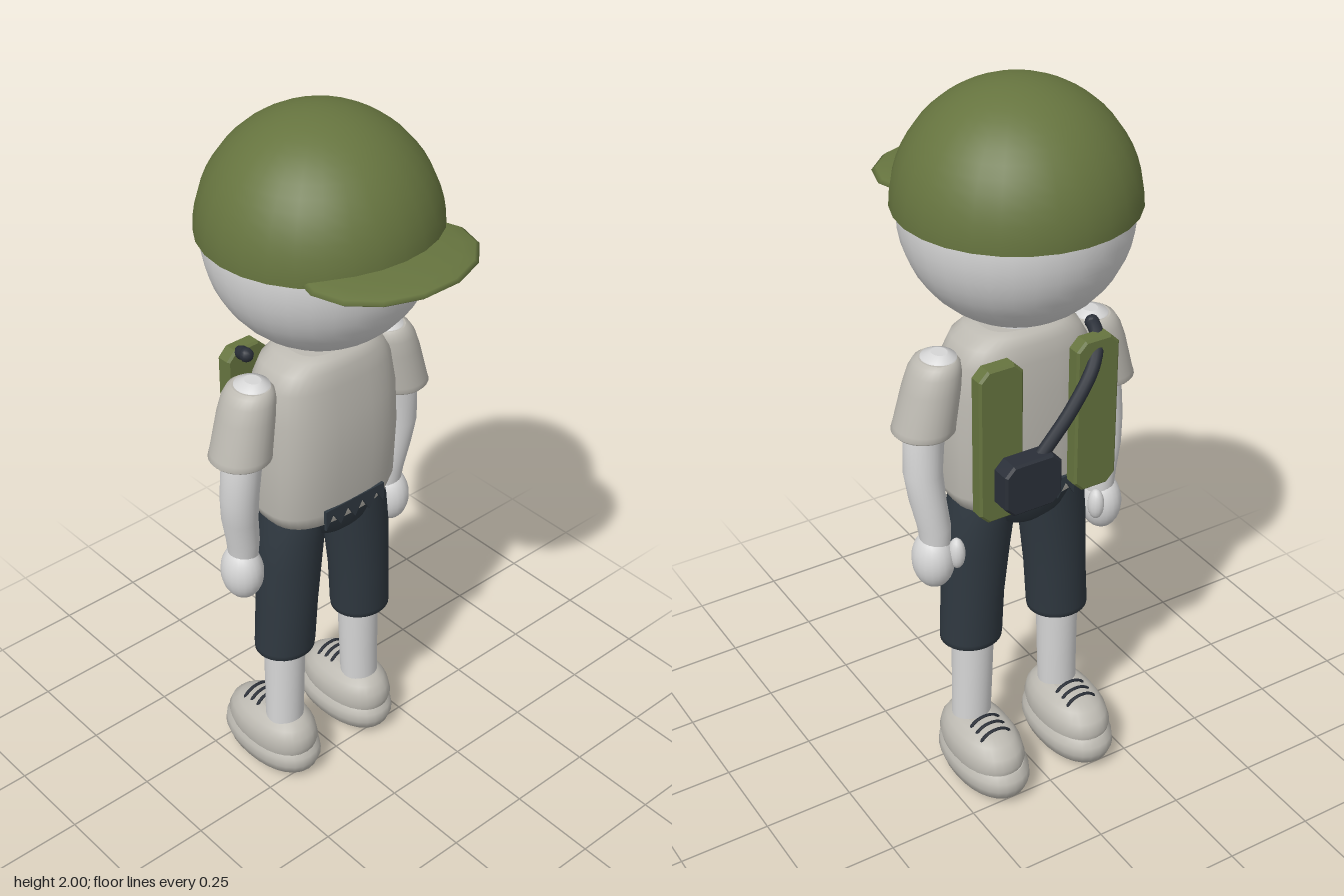
import * as THREE from 'three';

const mat = (name, color, side = THREE.FrontSide) => {
  const m = new THREE.MeshStandardMaterial({ color, side });
  m.name = name;
  return m;
};

// Stacked horizontal rings [y, centreX, centreZ, radiusX, radiusZ], bottom to top, with flat ends.
function loft(rings, exponent = 2, segments = 28) {
  const pos = [], idx = [];
  const ring = ([y, cx, cz, rx, rz]) => {
    const start = pos.length / 3;
    for (let i = 0; i < segments; i++) {
      const a = (i / segments) * Math.PI * 2, c = Math.cos(a), s = Math.sin(a);
      const p = (v) => Math.sign(v) * Math.abs(v) ** (2 / exponent);
      pos.push(cx + rx * p(c), y, cz + rz * p(s));
    }
    return start;
  };
  const starts = rings.map(ring);
  for (let r = 0; r < starts.length - 1; r++) {
    for (let i = 0; i < segments; i++) {
      const j = (i + 1) % segments, a = starts[r], b = starts[r + 1];
      idx.push(a + i, b + i, a + j, a + j, b + i, b + j);
    }
  }
  [rings[0], rings[rings.length - 1]].forEach((end, top) => {
    const s = ring(end), centre = pos.length / 3;
    pos.push(end[1], end[0], end[2]);
    for (let i = 0; i < segments; i++) {
      const j = (i + 1) % segments;
      if (top) idx.push(centre, s + j, s + i);
      else idx.push(centre, s + i, s + j);
    }
  });
  // centre points are stored as x, y, z
  const g = new THREE.BufferGeometry();
  g.setAttribute('position', new THREE.Float32BufferAttribute(pos, 3));
  g.setIndex(idx);
  g.computeVertexNormals();
  return g;
}

// Box with cut corners, centred, extruded along z
function cutBox(w, h, d, cut, bevel) {
  const x = w / 2 - bevel, y = h / 2 - bevel;
  const pts = [[-x + cut, -y], [x - cut, -y], [x, -y + cut], [x, y - cut],
    [x - cut, y], [-x + cut, y], [-x, y - cut], [-x, -y + cut]];
  const shape = new THREE.Shape(pts.map((p) => new THREE.Vector2(...p)));
  const g = new THREE.ExtrudeGeometry(shape, {
    depth: d - 2 * bevel, bevelSize: bevel, bevelThickness: bevel, bevelSegments: 1,
  });
  return g.translate(0, 0, -d / 2 + bevel);
}

export function createModel() {
  const skin = mat('pale skin', 0xd6d6d6);
  const cloth = mat('warm grey cloth', 0xbdbab2);
  const olive = mat('olive', 0x66743f, THREE.DoubleSide);
  const navy = mat('dark navy', 0x2f3840);
  const dark = mat('dark gear', 0x2a2f38);

  const model = new THREE.Group();
  const add = (name, geometry, material, x = 0, y = 0, z = 0, parent = model) => {
    const m = new THREE.Mesh(geometry, material);
    m.name = name;
    m.position.set(x, y, z);
    parent.add(m);
    return m;
  };

  // Head, neck and cap
  add('head', new THREE.SphereGeometry(0.29, 32, 24), skin, 0, 1.68, -0.06);
  add('neck', new THREE.CylinderGeometry(0.065, 0.075, 0.1, 24), skin, 0, 1.39, -0.06);
  add('capDome', new THREE.SphereGeometry(0.305, 28, 14, 0, Math.PI * 2, 0, Math.PI / 2),
    olive, 0, 1.695, -0.06);
  add('capBrim', new THREE.SphereGeometry(1, 14, 10), olive, 0, 1.702, 0.185)
    .scale.set(0.24, 0.024, 0.185);

  // Shirt body and hips
  add('shirt', loft([
    [0.885, 0, -0.055, 0.15, 0.1], [0.9, 0, -0.055, 0.185, 0.118],
    [0.94, 0, -0.053, 0.203, 0.125], [1.1, 0, -0.05, 0.205, 0.132],
    [1.22, 0, -0.052, 0.202, 0.128], [1.31, 0, -0.055, 0.19, 0.118],
    [1.355, 0, -0.055, 0.165, 0.11], [1.378, 0, -0.055, 0.13, 0.095],
    [1.385, 0, -0.055, 0.1, 0.075],
  ], 2.7, 36), cloth);
  add('hips', loft([
    [0.8, 0, -0.06, 0.03, 0.04], [0.82, 0, -0.06, 0.08, 0.08],
    [0.85, 0, -0.06, 0.135, 0.11], [0.9, 0, -0.06, 0.18, 0.122],
  ]), navy);

  // Toothed waistband patch, front and back
  const teeth = new THREE.Shape();
  teeth.moveTo(-0.1, 0.955);
  teeth.lineTo(-0.1, 0.895);
  for (let i = 0; i < 4; i++) {
    const x = -0.1 + i * 0.05;
    teeth.lineTo(x + 0.025, 0.937);
    teeth.lineTo(x + 0.05, 0.895);
  }
  teeth.lineTo(0.1, 0.955);
  const patch = new THREE.ExtrudeGeometry(teeth, { depth: 0.009, bevelEnabled: false });
  add('frontWaistPatch', patch, navy, 0, 0, 0.067);
  add('backWaistPatch', patch, navy, 0, 0, -0.186);

  for (const s of [1, -1]) {
    const side = new THREE.Group();
    side.name = s > 0 ? 'leftLimbs' : 'rightLimbs';
    model.add(side);
    const part = (name, rings, material, exponent) => add(name,
      loft(rings.map(([y, x, ...rest]) => [y, s * x, ...rest]), exponent), material, 0, 0, 0, side);

    // Arm with its shoulder showing above the sleeve
    part('arm', [
      [0.8, 0.253, -0.08, 0.038, 0.04], [0.86, 0.255, -0.077, 0.043, 0.046],
      [0.94, 0.268, -0.07, 0.047, 0.05], [1.02, 0.274, -0.06, 0.05, 0.052],
      [1.14, 0.265, -0.055, 0.053, 0.053], [1.32, 0.225, -0.06, 0.05, 0.055],
      [1.338, 0.222, -0.06, 0.044, 0.048], [1.348, 0.22, -0.06, 0.02, 0.024],
    ], skin);
    part('sleeve', [
      [1.14, 0.268, -0.058, 0.076, 0.078], [1.146, 0.268, -0.058, 0.081, 0.083],
      [1.16, 0.265, -0.058, 0.079, 0.082], [1.26, 0.244, -0.06, 0.073, 0.077],
      [1.305, 0.234, -0.06, 0.066, 0.073], [1.328, 0.228, -0.06, 0.057, 0.064],
      [1.335, 0.226, -0.06, 0.046, 0.054],
    ], cloth);
    add('hand', new THREE.SphereGeometry(1, 20, 16), skin, s * 0.26, 0.76, -0.078, side)
      .scale.set(0.055, 0.082, 0.062);
    add('thumb', new THREE.SphereGeometry(1, 14, 10), skin, s * 0.215, 0.785, -0.122, side)
      .scale.set(0.022, 0.045, 0.024);

    // Leg and shorts
    part('leg', [[0.15, 0.142, -0.06, 0.054, 0.052], [0.3, 0.138, -0.061, 0.056, 0.054],
      [0.47, 0.135, -0.062, 0.058, 0.058]], skin);
    part('shortsLeg', [
      [0.448, 0.138, -0.057, 0.076, 0.07], [0.453, 0.138, -0.057, 0.085, 0.079],
      [0.468, 0.137, -0.057, 0.086, 0.08], [0.6, 0.13, -0.055, 0.086, 0.083],
      [0.75, 0.119, -0.056, 0.092, 0.088], [0.84, 0.109, -0.058, 0.091, 0.094],
      [0.91, 0.098, -0.06, 0.086, 0.098],
    ], navy);

    // Shoe with the toe towards the back
    part('shoeSole', [
      [0.005, 0.138, -0.12, 0.035, 0.07], [0.012, 0.138, -0.12, 0.062, 0.12],
      [0.035, 0.138, -0.12, 0.09, 0.158], [0.065, 0.138, -0.12, 0.1, 0.17],
      [0.09, 0.138, -0.12, 0.098, 0.166], [0.108, 0.138, -0.12, 0.086, 0.15],
    ], cloth, 2.2);
    part('shoeUpper', [
      [0.095, 0.14, -0.115, 0.088, 0.148], [0.125, 0.14, -0.115, 0.094, 0.157],
      [0.155, 0.14, -0.112, 0.088, 0.147], [0.178, 0.14, -0.106, 0.075, 0.126],
      [0.192, 0.14, -0.098, 0.056, 0.098], [0.198, 0.14, -0.09, 0.035, 0.065],
    ], cloth, 2.2);
    [-0.13, -0.158, -0.186].forEach((z, i) => {
      const lace = add('shoelace', new THREE.TorusGeometry(0.045, 0.005, 6, 14, Math.PI),
        dark, s * 0.14, 0.184 - i * 0.004, z, side);
      lace.scale.y = 0.65;
    });

    // Shoulder board
    add('packStrap', cutBox(0.125, 0.435, 0.044, 0.022, 0.006), olive, s * 0.14, 1.138, -0.2, side);
  }

  // Pouch and its cord over the right shoulder
  add('pouch', cutBox(0.165, 0.145, 0.06, 0.022, 0.006), dark, 0.08, 1.03, -0.247);
  const path = new THREE.CatmullRomCurve3([
    [0.05, 1.08, -0.245], [-0.05, 1.2, -0.246], [-0.12, 1.29, -0.228], [-0.16, 1.345, -0.18],
    [-0.17, 1.358, -0.145],
  ].map((p) => new THREE.Vector3(...p)));
  add('pouchCord', new THREE.TubeGeometry(path, 24, 0.018, 10), dark);
  add('cordEnd', new THREE.SphereGeometry(0.019, 12, 8), dark, -0.17, 1.358, -0.145);

  return model;
}
